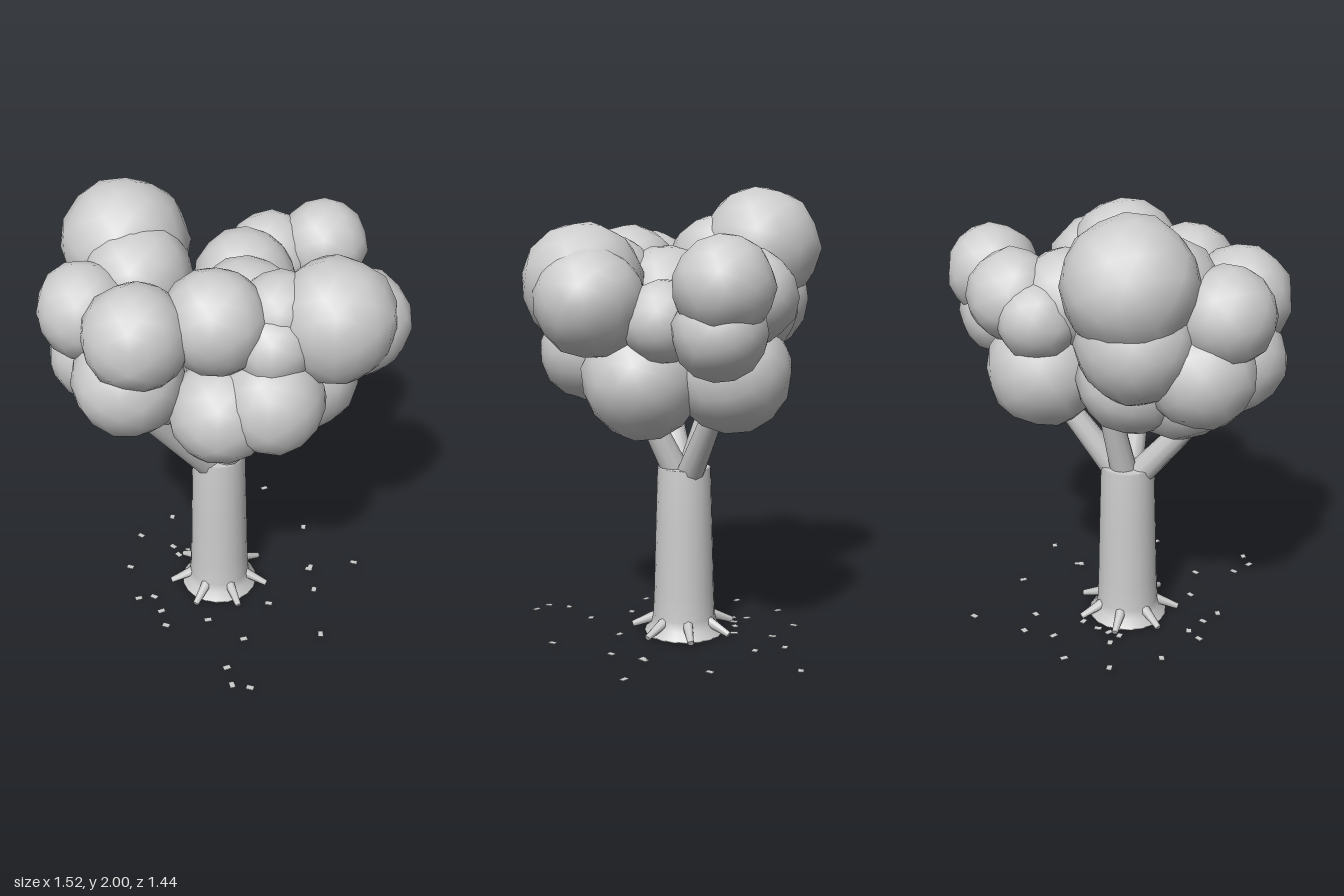
import * as THREE from 'three';
import { mergeVertices } from 'three/addons/utils/BufferGeometryUtils.js';

const TX = -0.04, TZ = -0.015; // trunk axis

function seeded(seed) {
  return () => {
    seed = (seed * 16807) % 2147483647;
    return seed / 2147483647;
  };
}

// Lumpy low-poly ball with smooth normals
function leafBall(radius, rand) {
  let geo = new THREE.IcosahedronGeometry(1, 2);
  geo.deleteAttribute('uv');
  geo.deleteAttribute('normal');
  geo = mergeVertices(geo, 1e-3);
  const pos = geo.attributes.position;
  const v = new THREE.Vector3();
  for (let i = 0; i < pos.count; i++) {
    v.fromBufferAttribute(pos, i).setLength(radius * (0.98 + 0.06 * rand()));
    pos.setXYZ(i, v.x, v.y, v.z);
  }
  geo.computeVertexNormals();
  return geo;
}

// Tapered limb between two points
function limb(a, b, rA, rB, sides, material, name) {
  const from = new THREE.Vector3(...a), dir = new THREE.Vector3(...b).sub(from);
  const mesh = new THREE.Mesh(new THREE.CylinderGeometry(rB, rA, dir.length(), sides), material);
  mesh.position.copy(from).addScaledVector(dir, 0.5);
  mesh.quaternion.setFromUnitVectors(new THREE.Vector3(0, 1, 0), dir.normalize());
  mesh.name = name;
  return mesh;
}

export function createModel() {
  const model = new THREE.Group();
  model.name = 'tree';
  const grey = new THREE.MeshStandardMaterial({ color: 0xcccccc });
  grey.name = 'light grey';
  const rand = seeded(4711);

  // Trunk: closed profile flaring into the ground
  const profile = [[0, 0], [0.18, 0], [0.18, 0.008], [0.15, 0.04], [0.141, 0.08], [0.136, 0.2],
    [0.128, 0.5], [0.12, 0.765], [0.11, 0.768], [0, 0.768]].map(p => new THREE.Vector2(...p));
  const trunk = new THREE.Mesh(new THREE.LatheGeometry(profile, 20), grey);
  trunk.name = 'trunk';
  trunk.position.set(TX, 0, TZ);
  model.add(trunk);

  // Roots around the base
  const roots = new THREE.Group();
  roots.name = 'roots';
  for (let i = 0; i < 7; i++) {
    const a = (i / 7) * Math.PI * 2 + 0.2;
    const c = Math.cos(a), s = Math.sin(a);
    roots.add(limb([TX + c * 0.11, 0.075, TZ + s * 0.11], [TX + c * 0.235, 0.022, TZ + s * 0.235],
      0.026, 0.014, 7, grey, 'root'));
  }
  model.add(roots);

  // Branches fanning out of the trunk top
  const branches = new THREE.Group();
  branches.name = 'branches';
  for (const [x, y, z] of [[-0.3, 1.12, 0.26], [0.13, 1.12, -0.3], [-0.12, 1.2, -0.16], [0.12, 1.1, 0.12]]) {
    const dx = x - TX, dz = z - TZ;
    branches.add(limb([TX + dx * 0.12, 0.72, TZ + dz * 0.12], [x, y, z], 0.062, 0.045, 10, grey, 'branch'));
  }
  model.add(branches);

  // Foliage balls: x, y, z, radius
  const crown = new THREE.Group();
  crown.name = 'crown';
  const upper = [
    [-0.44, 1.73, -0.17, 0.27], [-0.37, 1.66, 0.0, 0.23], [-0.56, 1.6, 0.18, 0.2],
    [-0.33, 1.59, 0.36, 0.215], [-0.03, 1.62, 0.27, 0.215], [0.08, 1.53, 0, 0.22],
    [0.2, 1.52, 0.28, 0.16], [0.22, 1.61, 0.18, 0.18], [0.44, 1.59, 0.17, 0.255],
    [0.53, 1.53, 0.07, 0.225], [0.39, 1.6, -0.47, 0.2], [0.16, 1.55, -0.45, 0.2],
    [0.06, 1.54, -0.24, 0.22], [0.38, 1.45, -0.18, 0.17], [0.01, 1.48, -0.4, 0.17],
  ];
  const lower = [
    [-0.38, 1.35, 0.3, 0.23], [0.0, 1.23, 0.32, 0.22], [0.2, 1.29, 0.32, 0.22],
    [0.31, 1.2, -0.03, 0.25], [0.1, 1.23, -0.34, 0.25], [-0.52, 1.36, 0.1, 0.22],
    [-0.33, 1.24, 0.1, 0.225], [-0.3, 1.29, -0.1, 0.23], [-0.45, 1.5, -0.15, 0.24],
    [0.37, 1.42, -0.44, 0.19], [0.02, 1.35, 0, 0.26],
  ];
  for (const [x, y, z, r] of [...upper, ...lower]) {
    const ball = new THREE.Mesh(leafBall(r, rand), grey);
    ball.name = 'foliage';
    ball.position.set(x, y, z);
    crown.add(ball);
  }
  model.add(crown);

  // Fallen leaves: small flat plates
  const leaves = new THREE.Group();
  leaves.name = 'fallenLeaves';
  const spots = [[0.15, -0.71], [0.62, -0.15], [0.04, 0.59], [0.07, 0.69], [0.15, 0.7], [-0.14, -0.42], [-0.05, -0.53]];
  while (spots.length < 28) {
    const a = rand() * Math.PI * 2, r = 0.28 + 0.34 * rand();
    spots.push([Math.cos(a) * r, Math.sin(a) * r * 0.85]);
  }
  for (const [x, z] of spots) {
    const leaf = new THREE.Mesh(new THREE.BoxGeometry(0.034, 0.003, 0.024), grey);
    leaf.name = 'fallenLeaf';
    leaf.position.set(x, 0.02, z);
    leaf.rotation.y = rand() * Math.PI;
    leaves.add(leaf);
  }
  model.add(leaves);

  return model;
}
